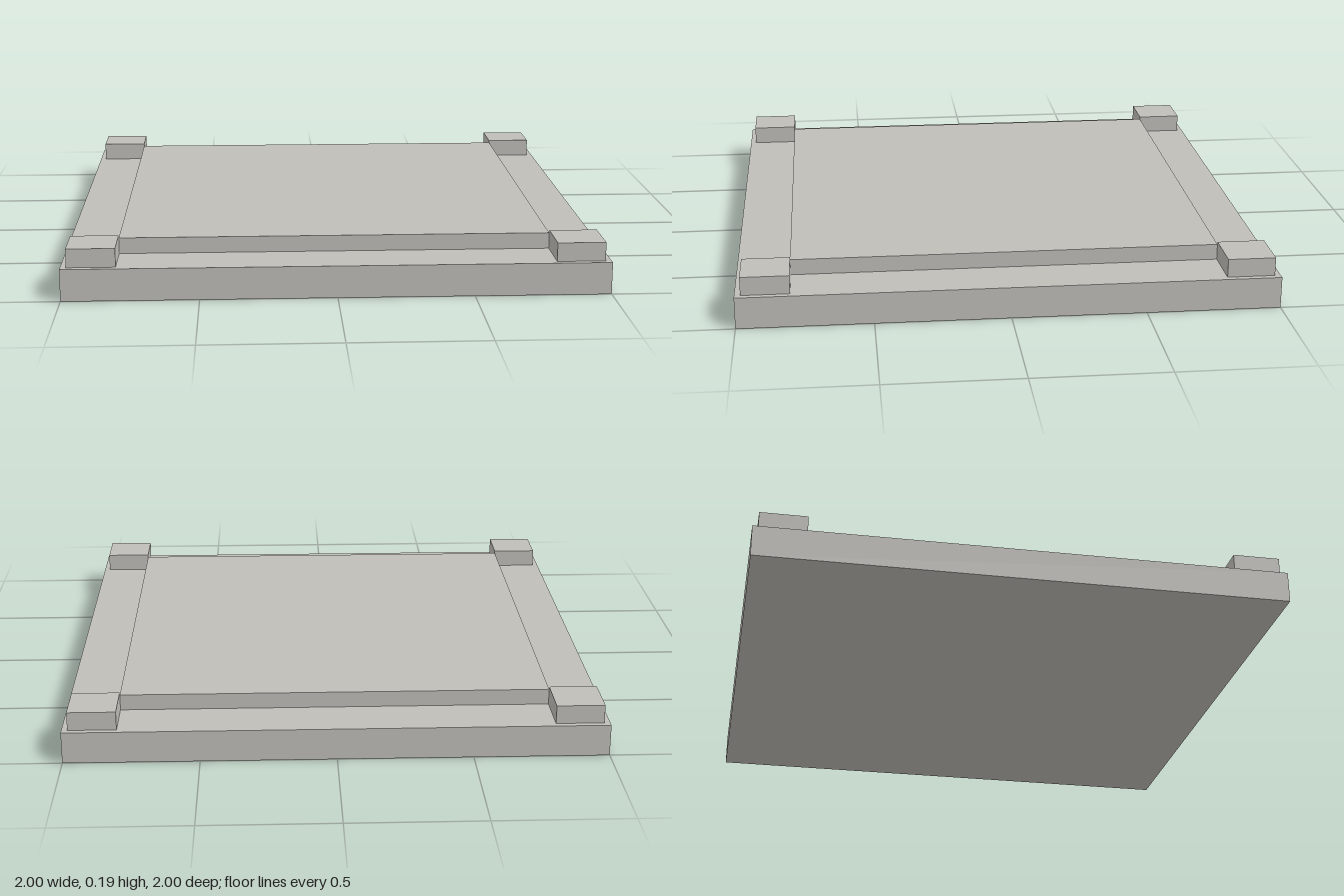
import * as THREE from 'three';

export function createModel() {
  const model = new THREE.Group();
  model.name = 'floorTile';
  const stone = new THREE.MeshStandardMaterial({ color: 0xc0beb9 });
  stone.name = 'pale stone';

  // Box placed by its bottom height
  function block(name, width, height, depth, x, bottom, z) {
    const mesh = new THREE.Mesh(new THREE.BoxGeometry(width, height, depth), stone);
    mesh.name = name;
    mesh.position.set(x, bottom + height / 2, z);
    model.add(mesh);
  }

  // Base slab and raised centre panel
  block('baseSlab', 2, 0.12, 2, 0, 0, 0);
  block('raisedPanel', 1.6, 0.06, 1.6, 0, 0.12, 0);

  // Corner blocks touching the panel's corners
  const size = 0.178;
  const offset = 0.8 + size / 2;
  for (const [side, x] of [['Left', 1], ['Right', -1]]) {
    for (const [end, z] of [['front', 1], ['back', -1]]) {
      block(`${end}${side}CornerBlock`, size, 0.07, size, x * offset, 0.12, z * offset);
    }
  }
  return model;
}
